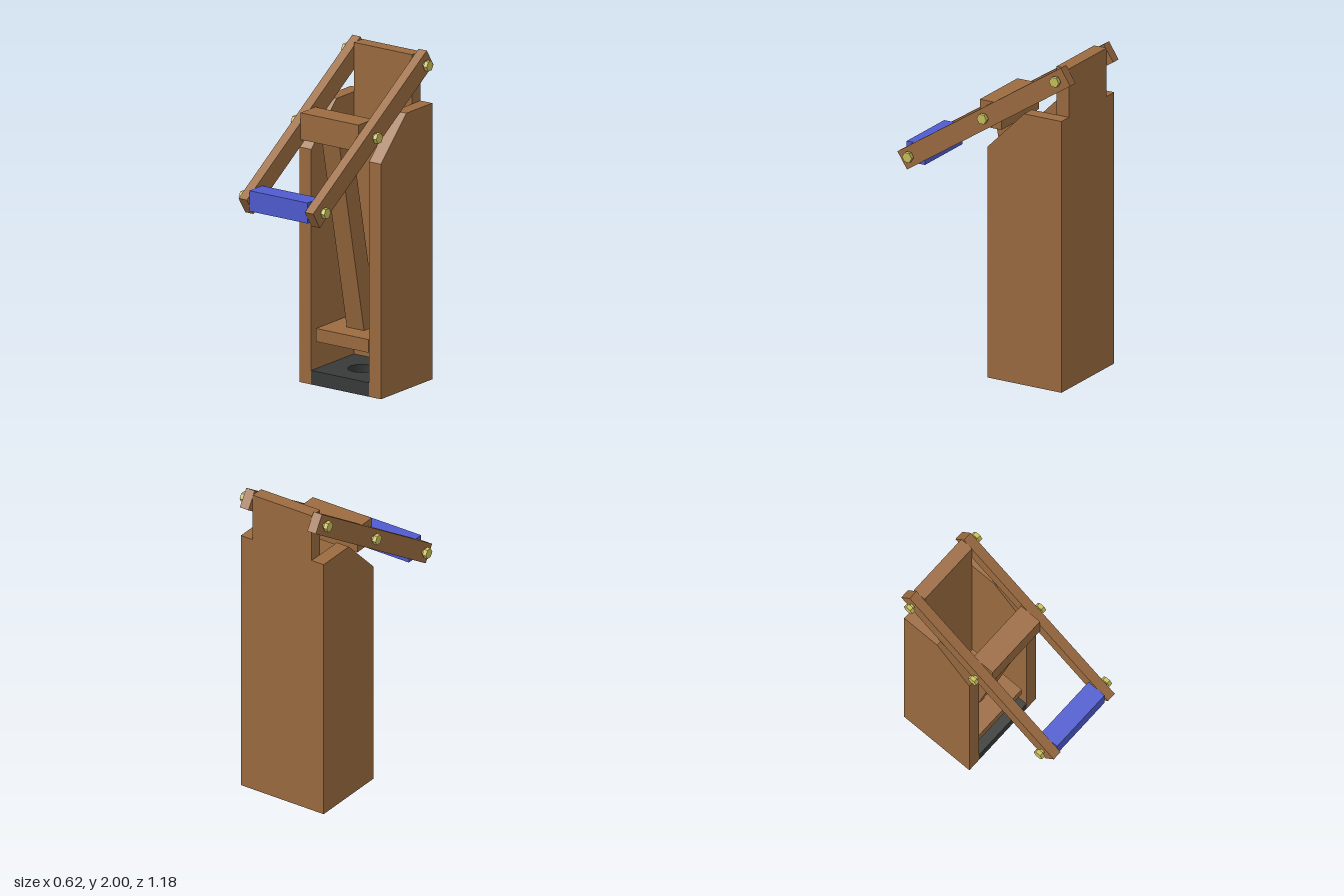
import * as THREE from 'three';

export function createModel() {
  const model = new THREE.Group();
  const mat = (color) => new THREE.MeshStandardMaterial({ color, flatShading: true });
  const wood = mat(0x9b6b40), iron = mat(0x383a3a), blue = mat(0x4f5bd0), brass = mat(0xc9bf5c);

  const add = (name, geometry, material) => {
    const mesh = new THREE.Mesh(geometry, material);
    mesh.name = name;
    model.add(mesh);
    return mesh;
  };

  // box given by its lower and upper limits on each axis
  const box = (name, [x0, x1], [y0, y1], [z0, z1], material) => {
    const mesh = add(name, new THREE.BoxGeometry(x1 - x0, y1 - y0, z1 - z0), material);
    mesh.position.set((x0 + x1) / 2, (y0 + y1) / 2, (z0 + z1) / 2);
    return mesh;
  };

  // outline of (z, y) points extruded along x and centred on cx
  const sidePanel = (name, points, width, cx, material) => {
    const shape = new THREE.Shape(points.map(([z, y]) => new THREE.Vector2(z, y)));
    const geometry = new THREE.ExtrudeGeometry(shape, { depth: width, bevelEnabled: false });
    geometry.translate(0, 0, -width / 2).rotateY(-Math.PI / 2);
    add(name, geometry, material).position.x = cx;
  };

  // open-fronted housing
  const inner = 0.21, outer = 0.295, front = -0.041, back = -0.545;
  const wallOutline = [[back, 0], [front, 0], [front, 1.43], [-0.29, 1.68], [back, 1.68]];
  box('backBoard', [-inner, inner], [0, 1.98], [back, -0.46], wood);

  // base plate with a round hole
  const plate = new THREE.Shape([[-inner, 0.041], [inner, 0.041], [inner, 0.46], [-inner, 0.46]]
    .map(([x, y]) => new THREE.Vector2(x, y)));
  plate.holes.push(new THREE.Path().absarc(0, 0.25, 0.08, 0, Math.PI * 2, true));
  const plateGeometry = new THREE.ExtrudeGeometry(plate, { depth: 0.085, bevelEnabled: false, curveSegments: 16 });
  add('basePlate', plateGeometry.rotateX(-Math.PI / 2), iron);

  // pressing block, slanted rod and crossbar
  box('pressBlock', [-0.19, 0.19], [0.26, 0.34], [-0.44, -0.06], wood);
  sidePanel('pressRod', [[-0.315, 0.34], [-0.19, 0.34], [0.05, 1.515], [-0.075, 1.515]], 0.125, 0, wood);
  box('crossbar', [-inner, inner], [1.515, 1.678], [-0.083, 0.064], wood);

  // handle between the lever ends
  box('handle', [-inner, inner], [1.2, 1.325], [0.439, 0.564], blue);

  // paired walls, levers and bolts
  const pivots = [[0.502, 1.263], [-0.008, 1.597], [-0.502, 1.918]];
  for (const side of [1, -1]) {
    sidePanel('sideWall', wallOutline, outer - inner, side * (inner + outer) / 2, wood);

    const lever = add('lever', new THREE.BoxGeometry(0.06, 0.12, 1.33), wood);
    lever.position.set(side * 0.24, 1.587, 0);
    lever.rotation.x = 0.577;

    for (const [z, y] of pivots) {
      const shank = add('boltShank', new THREE.CylinderGeometry(0.015, 0.015, 0.08, 12), brass);
      const head = add('boltHead', new THREE.CylinderGeometry(0.033, 0.033, 0.025, 6), brass);
      shank.position.set(side * 0.25, y, z);
      head.position.set(side * 0.2975, y, z);
      for (const part of [shank, head]) part.rotation.z = Math.PI / 2;
    }
  }
  return model;
}
